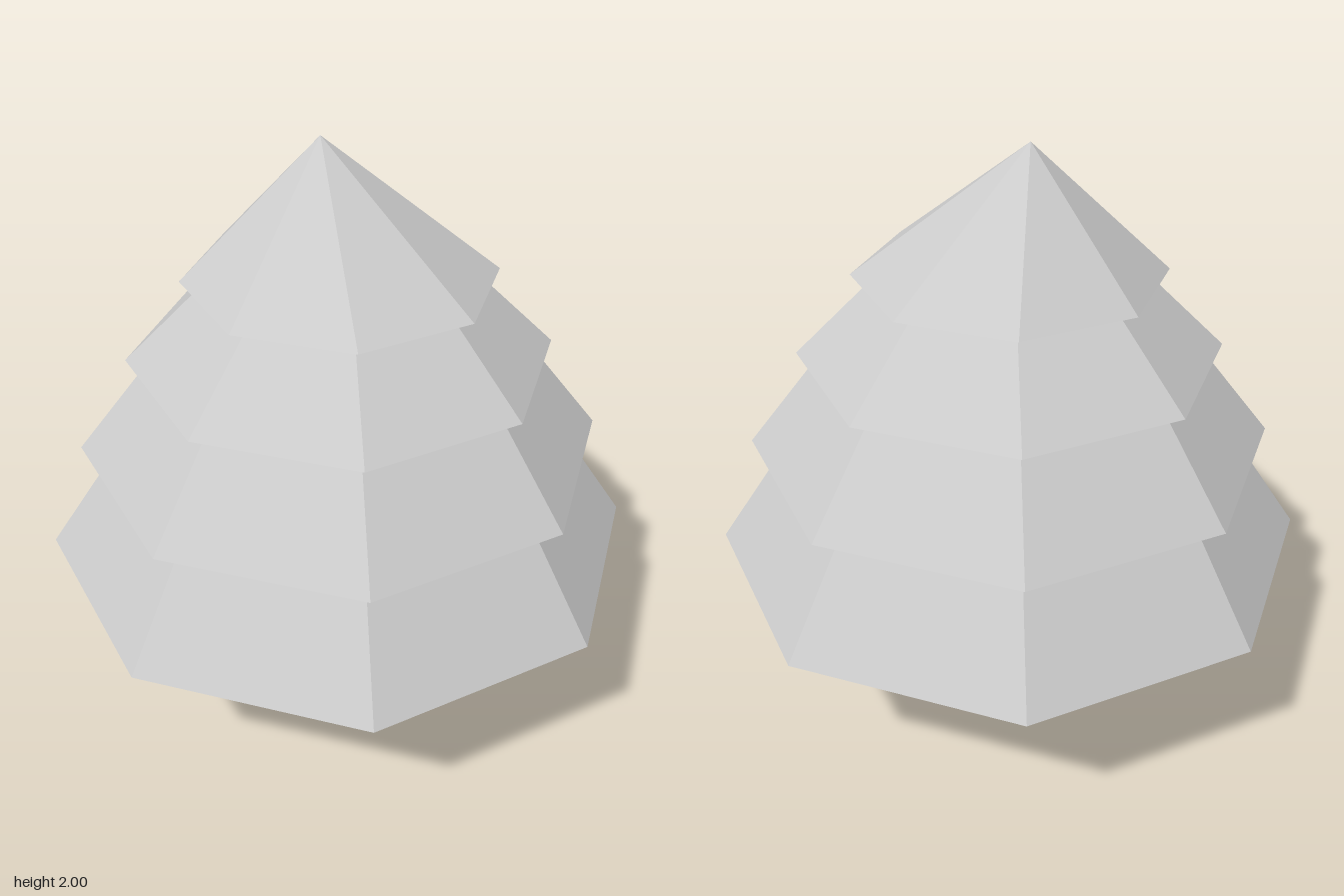
import * as THREE from 'three';

const SIDES = 8;
const APEX_LEAN = -0.08;

// Eight-sided solid of revolution with corners on the x and z axes
function lathe(profile) {
  return new THREE.LatheGeometry(profile.map(([r, y]) => new THREE.Vector2(r, y)), SIDES);
}

function addMesh(group, name, geometry, flatShading) {
  const material = new THREE.MeshStandardMaterial({ color: 0xcccccc, flatShading });
  const mesh = new THREE.Mesh(geometry, material);
  mesh.name = name;
  group.add(mesh);
  return mesh;
}

export function createModel() {
  const tree = new THREE.Group();
  tree.name = 'tree';

  // Trunk, flowing smoothly into the hollow underside of the lowest tier
  addMesh(tree, 'trunkAndUnderside', lathe([[0.2, 0], [0.2, 0.93], [1, 0.59]]), false);

  // Flat foot of the trunk
  const foot = new THREE.CircleGeometry(0.2, SIDES).rotateX(Math.PI / 2);
  addMesh(tree, 'trunkFoot', foot, true);

  // Stacked tiers of foliage: each sloped skirt ends under the flat lip of the next
  const foliage = lathe([
    [1, 0.59], [0.745, 0.97],
    [0.87, 0.97], [0.615, 1.295],
    [0.695, 1.295], [0.42, 1.565],
    [0.505, 1.565], [0, 2],
  ]);

  // The tip leans slightly backwards
  const pos = foliage.attributes.position;
  for (let i = 0; i < pos.count; i++) {
    if (pos.getY(i) > 1.99) pos.setZ(i, APEX_LEAN);
  }
  addMesh(tree, 'foliage', foliage, true);

  return tree;
}
